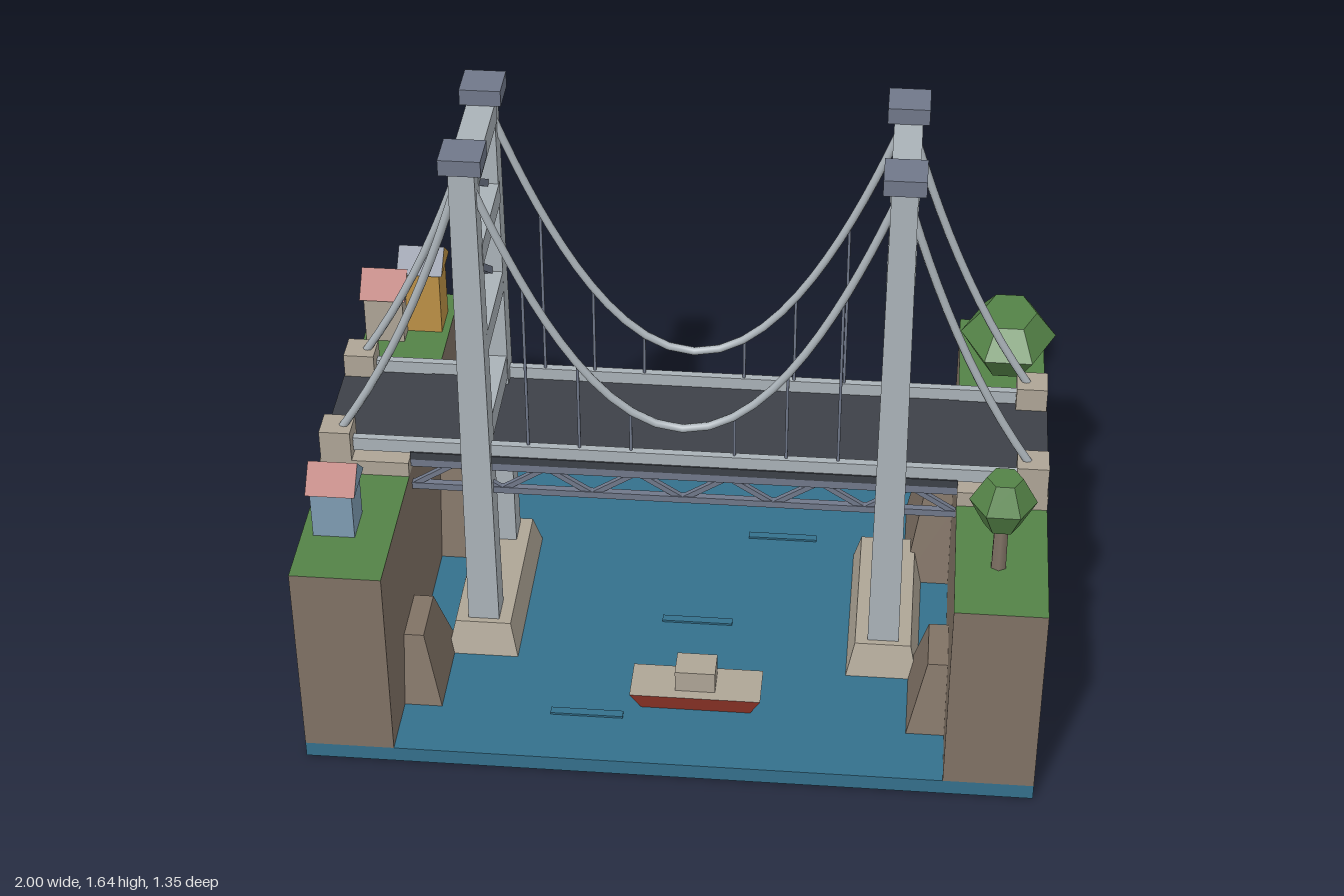
import * as THREE from 'three';

const mat = (name, color) => Object.assign(new THREE.MeshStandardMaterial({ color }), { name });
const M = {
  water: mat('water blue', 0x34708c),
  cliff: mat('cliff brown', 0x807265),
  green: mat('leaf green', 0x548247),
  road: mat('asphalt', 0x3d4148),
  steel: mat('light steel', 0xaab2b8),
  slate: mat('slate steel', 0x70788a),
  stone: mat('stone', 0xaea596),
  red: mat('red', 0x9c3a2c),
  blue: mat('house blue', 0x7f9cb3),
  ochre: mat('ochre', 0xbc9146),
};
const CX = -0.0115;              // bridge centre line
const GROUND = 0.63, SEA = 0.045;

export function createModel() {
  const root = new THREE.Group();
  root.name = 'suspensionBridge';

  const add = (name, geo, material, x = 0, y = 0, z = 0, parent = root) => {
    const m = new THREE.Mesh(geo, material);
    m.name = name;
    m.position.set(x, y, z);
    parent.add(m);
    return m;
  };
  // box given by its min and max corners
  const box = (name, material, [x0, y0, z0], [x1, y1, z1], parent = root) =>
    add(name, new THREE.BoxGeometry(x1 - x0, y1 - y0, z1 - z0), material,
      (x0 + x1) / 2, (y0 + y1) / 2, (z0 + z1) / 2, parent);
  // block with separate bottom and top rectangles [x0, x1, z0, z1]
  const taper = (name, material, y0, y1, bottom, top, parent = root) => {
    const g = new THREE.BoxGeometry(1, 1, 1), p = g.attributes.position;
    for (let i = 0; i < p.count; i++) {
      const up = p.getY(i) > 0, r = up ? top : bottom;
      p.setXYZ(i, p.getX(i) > 0 ? r[1] : r[0], up ? y1 : y0, p.getZ(i) > 0 ? r[3] : r[2]);
    }
    const flat = g.toNonIndexed();
    flat.groups = g.groups;
    flat.computeVertexNormals();
    return add(name, flat, material, 0, 0, 0, parent);
  };
  // square bar between two points of the parent (aimed before it is attached)
  const bar = (name, material, a, b, t, parent) => {
    const va = new THREE.Vector3(...a), vb = new THREE.Vector3(...b);
    const m = new THREE.Mesh(new THREE.BoxGeometry(t, t, va.distanceTo(vb)), material);
    m.name = name;
    m.position.copy(va).add(vb).multiplyScalar(0.5);
    m.lookAt(vb);
    parent.add(m);
  };

  // Water and ripples
  box('water', M.water, [-1, 0, -0.675], [0.975, SEA, 0.675]);
  for (const [x, z] of [[-0.25, 0.49], [0.02, 0.07], [0.24, -0.335]])
    box('ripple', M.water, [x - 0.1, SEA, z - 0.012], [x + 0.1, SEA + 0.006, z + 0.012]);

  // Cliffs with grass tops, rocks, abutments and cable anchors on both banks
  const topOnly = (side, top) => [side, side, top, side, side, side];
  for (const s of [-1, 1]) {
    const X = (a, b) => [-0.0125 + s * a, -0.0125 + s * b].sort((p, q) => p - q);
    const [c0, c1] = X(0.744, 0.9875);
    box('cliff', topOnly(M.cliff, M.green), [c0, SEA, -0.675], [c1, GROUND, 0.675]);
    taper('backRock', M.cliff, SEA, 0.34, [...X(0.615, 0.78), -0.52, -0.16], [...X(0.665, 0.78), -0.45, -0.22]);
    taper('frontRock', M.cliff, SEA, 0.25, [...X(0.64, 0.78), 0.21, 0.495], [...X(0.69, 0.78), 0.27, 0.44]);
    box('abutment', M.stone, [c0, GROUND, -0.225], [c1, 0.675, 0.225]);
    const [a0, a1] = X(0.9, 0.985);
    for (const z of [-0.1825, 0.1825])
      box('anchorBlock', M.stone, [a0, GROUND, z - 0.0425], [a1, 0.765, z + 0.0425]);
  }

  // Deck
  box('road', M.road, [-1, 0.675, -0.17], [0.975, 0.695, 0.17]);
  box('deckSlab', M.road, [CX - 0.744, 0.67, -0.2], [CX + 0.744, 0.694, 0.2]);
  for (const z of [-0.185, 0.185]) {
    box('railing', M.steel, [CX - 0.9, 0.69, z - 0.011], [CX + 0.9, 0.73, z + 0.011]);
    // Stiffening truss below the deck
    const truss = new THREE.Group();
    truss.name = 'truss';
    root.add(truss);
    box('topChord', M.slate, [CX - 0.744, 0.645, z - 0.012], [CX + 0.744, 0.671, z + 0.012], truss);
    box('bottomChord', M.slate, [CX - 0.744, 0.567, z - 0.01], [CX + 0.744, 0.587, z + 0.01], truss);
    const n = 12, step = 1.488 / n;
    for (let i = 0; i < n; i++) {
      const x = CX - 0.744 + i * step, lo = 0.577, hi = 0.657;
      bar('diagonal', M.slate, [x, i % 2 ? hi : lo, z], [x + step, i % 2 ? lo : hi, z], 0.015, truss);
    }
  }

  // Towers
  for (const s of [-1, 1]) {
    const tower = new THREE.Group();
    tower.name = 'tower';
    tower.position.x = -0.0095 + s * 0.5625;
    root.add(tower);
    taper('footing', M.stone, SEA, 0.14, [-0.1, 0.1, -0.27, 0.27], [-0.078, 0.078, -0.24, 0.24], tower);
    for (const z of [-0.18, 0.18]) {
      taper('leg', M.steel, 0.14, 1.6, [-0.0435, 0.0435, z - 0.0425, z + 0.0425],
        [-0.034, 0.034, z - 0.034, z + 0.034], tower);
      box('cap', M.slate, [-0.055, 1.6, z - 0.055], [0.055, 1.645, z + 0.055], tower);
    }
    for (const [y0, y1] of [[0.715, 0.79], [1.005, 1.07], [1.285, 1.35], [1.535, 1.6]])
      box('strut', M.steel, [-0.0375, y0, -0.16], [0.0375, y1, 0.16], tower);
    for (const [y0, y1] of [[1.07, 1.285], [1.35, 1.535]])
      for (const d of [-1, 1])
        bar('crossBrace', M.slate, [0, y0, -d * 0.148], [0, y1, d * 0.148], 0.02, tower);
  }

  // Main cables, back stays and hangers
  const sag = x => 0.81 + 2.5 * x * x;
  for (const z of [-0.183, 0.183]) {
    const V = (x, y) => new THREE.Vector3(CX + x, y, z);
    const tube = (name, curve, n) => add(name, new THREE.TubeGeometry(curve, n, 0.0115, 8), M.steel);
    // a quadratic curve gives an exact parabola
    tube('mainCable', new THREE.QuadraticBezierCurve3(
      V(-0.563, sag(0.563)), V(0, 1.62 - sag(0.563)), V(0.563, sag(0.563))), 28);
    for (const s of [-1, 1])
      tube('backStay', new THREE.QuadraticBezierCurve3(
        V(s * 0.563, 1.6), V(s * 0.715, 1.08), V(s * 0.93, 0.755)), 12);
    for (const x of [-0.42, -0.28, -0.14, 0.14, 0.28, 0.42]) {
      const h = sag(x) - 0.72;
      add('hanger', new THREE.CylinderGeometry(0.0045, 0.0045, h, 6), M.slate, CX + x, 0.72 + h / 2, z);
    }
  }

  // Boat
  const boat = new THREE.Group();
  boat.name = 'boat';
  root.add(boat);
  taper('hull', topOnly(M.red, M.stone), SEA, 0.105,
    [-0.105, 0.198, 0.36, 0.45], [-0.134, 0.226, 0.34, 0.472], boat);
  box('cabin', M.stone, [-0.011, 0.105, 0.358], [0.1, 0.17, 0.442], boat);

  // Houses: box walls and a gabled roof whose end faces take the wall colour
  const house = (x, z, eave, peak, wall, roof) => {
    const g = new THREE.Group();
    g.name = 'house';
    g.position.set(x, 0, z);
    root.add(g);
    box('walls', wall, [-0.056, GROUND, -0.056], [0.056, eave, 0.056], g);
    const s = new THREE.Shape();
    s.moveTo(-0.068, 0);
    s.lineTo(0.068, 0);
    s.lineTo(0, peak - eave);
    s.closePath();
    const geo = new THREE.ExtrudeGeometry(s, { depth: 0.132, bevelEnabled: false });
    geo.translate(0, 0, -0.066).rotateY(Math.PI / 2);
    add('roof', geo, [wall, roof], 0, eave, 0, g);
  };
  house(-0.912, 0.446, 0.77, 0.835, M.blue, M.red);
  house(-0.934, -0.473, 0.775, 0.845, M.stone, M.red);
  house(-0.833, -0.531, 0.83, 0.89, M.ochre, M.slate);

  // Trees: trunk and two stacked six-sided cones
  const tree = (x, z, rx, rz, y0, ym, y1, top) => {
    const g = new THREE.Group();
    g.name = 'tree';
    g.position.set(x, 0, z);
    root.add(g);
    add('trunk', new THREE.CylinderGeometry(0.02, 0.022, y0 - GROUND + 0.02, 6), M.cliff,
      0, (y0 + GROUND + 0.02) / 2, 0, g);
    const cone = (name, rt, rb, a, b) => {
      const geo = new THREE.CylinderGeometry(rt, rb, b - a, 6).rotateY(Math.PI / 6).scale(rx, 1, rz);
      const flat = geo.toNonIndexed();
      flat.computeVertexNormals();
      add(name, flat, M.green, 0, (a + b) / 2, 0, g);
    };
    cone('lowerFoliage', 1, top, y0, ym);
    cone('upperFoliage', top, 1, ym, y1);
  };
  tree(0.845, 0.472, 0.088, 0.088, 0.767, 0.845, 0.918, 0.53);
  tree(0.865, -0.452, 0.135, 0.1755, 0.65, 0.74, 0.813, 0.57);

  return root;
}
